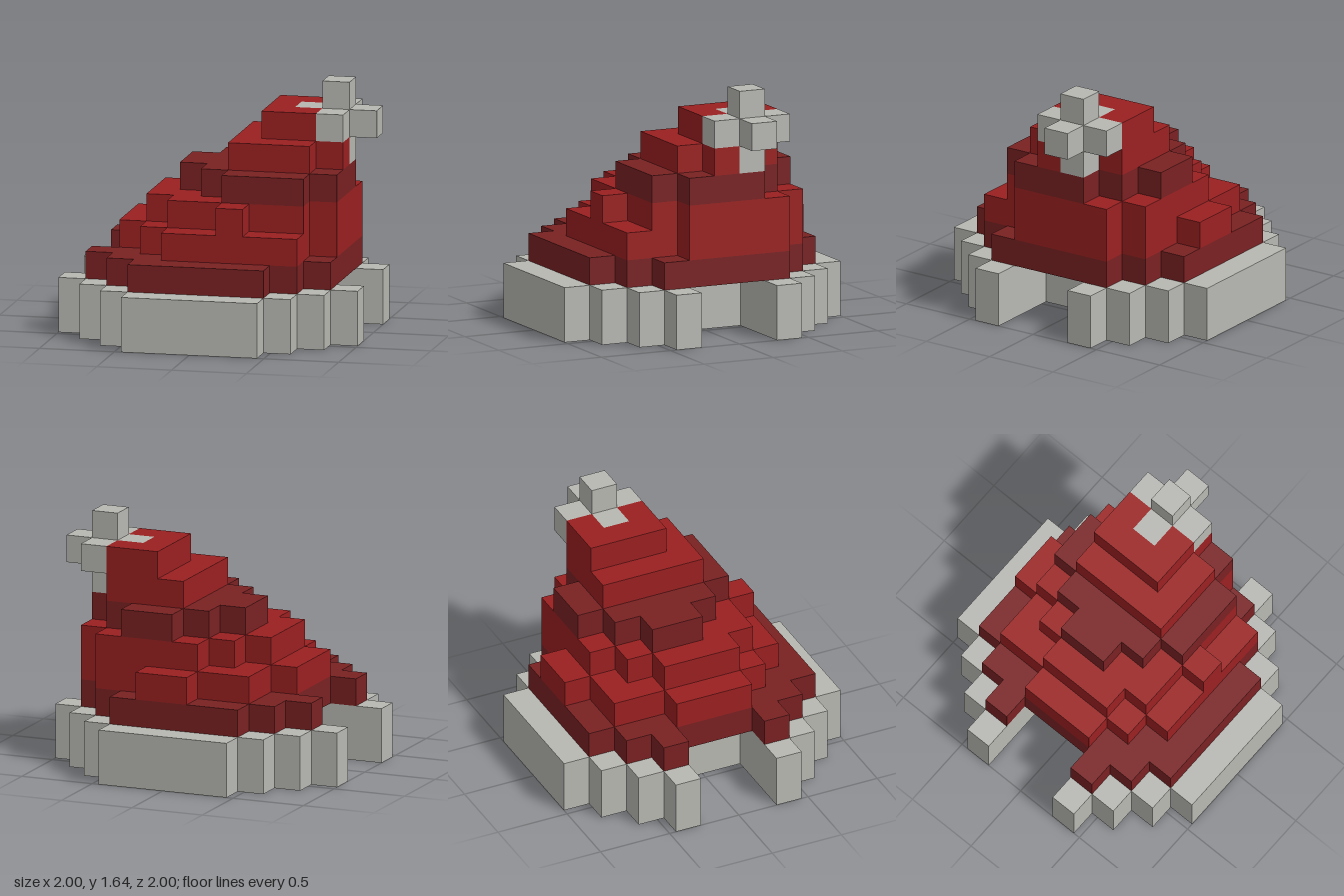
import * as THREE from 'three';

const N = 11;            // cells along the longest side
const S = 2 / N;         // cell size

const material = (name, color) => {
  const m = new THREE.MeshStandardMaterial({ color });
  m.name = name;
  return m;
};

// Each slab: height cells, then [row z, first x, last x] runs (inclusive)
const brim = [
  [0, 3, 7], [1, 2, 8], [2, 1, 9], [3, 0, 10], [4, 3, 7], [5, 3, 7],
  [6, 3, 7], [7, 0, 10], [8, 1, 9], [9, 2, 8], [10, 3, 7],
];
const lowerBand = [
  [1, 3, 7], [2, 2, 8], [3, 1, 9], [4, 2, 9], [5, 2, 9],
  [6, 2, 9], [7, 1, 9], [8, 2, 8], [9, 3, 7],
];
const crownLow = [
  [1, 5, 6], [2, 3, 8], [3, 3, 9], [4, 2, 9], [5, 2, 9], [6, 2, 9], [7, 3, 8], [8, 4, 8],
];
const crownMid = [
  [2, 5, 8], [3, 4, 9], [4, 3, 9], [5, 3, 9], [6, 3, 9], [7, 4, 8], [8, 6, 6],
];
const upperBand = [
  [2, 6, 7], [3, 5, 8], [4, 4, 9], [5, 4, 9], [6, 5, 9], [7, 6, 8],
];
const tipLow = [[3, 6, 8], [4, 6, 8], [5, 6, 9], [6, 6, 8]];
const tipHigh = [[3, 7, 8], [4, 7, 7], [5, 7, 8]];

// Six face directions, each with two in-plane axes (u x v = normal)
const AXES = [[1, 0, 0], [0, 1, 0], [0, 0, 1]].map(a => new THREE.Vector3(...a));
const FACES = [];
for (let a = 0; a < 3; a++) {
  const u = AXES[(a + 1) % 3], v = AXES[(a + 2) % 3];
  FACES.push({ n: AXES[a].clone(), u, v });
  FACES.push({ n: AXES[a].clone().negate(), u: v, v: u });
}

// Skin of a part: only faces not touching another filled cell
function skin(cells, filled) {
  const pos = [], nor = [];
  for (const [x, y, z] of cells) {
    const centre = new THREE.Vector3(x - 5, y + 0.5, z - 5);
    for (const { n, u, v } of FACES) {
      if (filled.has([x + n.x, y + n.y, z + n.z].join())) continue;
      const corner = (a, b) => centre.clone().addScaledVector(n, 0.5)
        .addScaledVector(u, a / 2).addScaledVector(v, b / 2).multiplyScalar(S);
      const [p, q, r, s] = [corner(-1, -1), corner(1, -1), corner(1, 1), corner(-1, 1)];
      for (const c of [p, q, r, p, r, s]) {
        pos.push(c.x, c.y, c.z);
        nor.push(n.x, n.y, n.z);
      }
    }
  }
  const g = new THREE.BufferGeometry();
  g.setAttribute('position', new THREE.Float32BufferAttribute(pos, 3));
  g.setAttribute('normal', new THREE.Float32BufferAttribute(nor, 3));
  return g;
}

// Fill runs over one or more levels
const fill = (runs, ...levels) => {
  const out = [];
  for (const y of levels)
    for (const [z, a, b] of runs)
      for (let x = a; x <= b; x++) out.push([x, y, z]);
  return out;
};

export function createModel() {
  const grey = material('pale grey', 0xb8b8b3);
  const red = material('red', 0x9b2021);
  const darkRed = material('dark red', 0x7a2122);

  const parts = [
    ['brim', grey, fill(brim, 0, 1)],
    ['lowerBand', darkRed, fill(lowerBand, 2)],
    ['crown', red, [...fill(crownLow, 3), ...fill(crownMid, 4)]],
    ['upperBand', darkRed, fill(upperBand, 5)],
    ['tip', red, [...fill(tipLow, 6), ...fill(tipHigh, 7)]],
    // Bobble: a centre cell with an arm in every direction
    ['bobble', grey, [[9, 7, 4], ...FACES.map(({ n }) => [9 + n.x, 7 + n.y, 4 + n.z])]],
  ];

  const filled = new Set(parts.flatMap(([, , cells]) => cells.map(c => c.join())));
  const model = new THREE.Group();
  model.name = 'hat';
  for (const [name, mat, cells] of parts) {
    const mesh = new THREE.Mesh(skin(cells, filled), mat);
    mesh.name = name;
    model.add(mesh);
  }
  return model;
}
